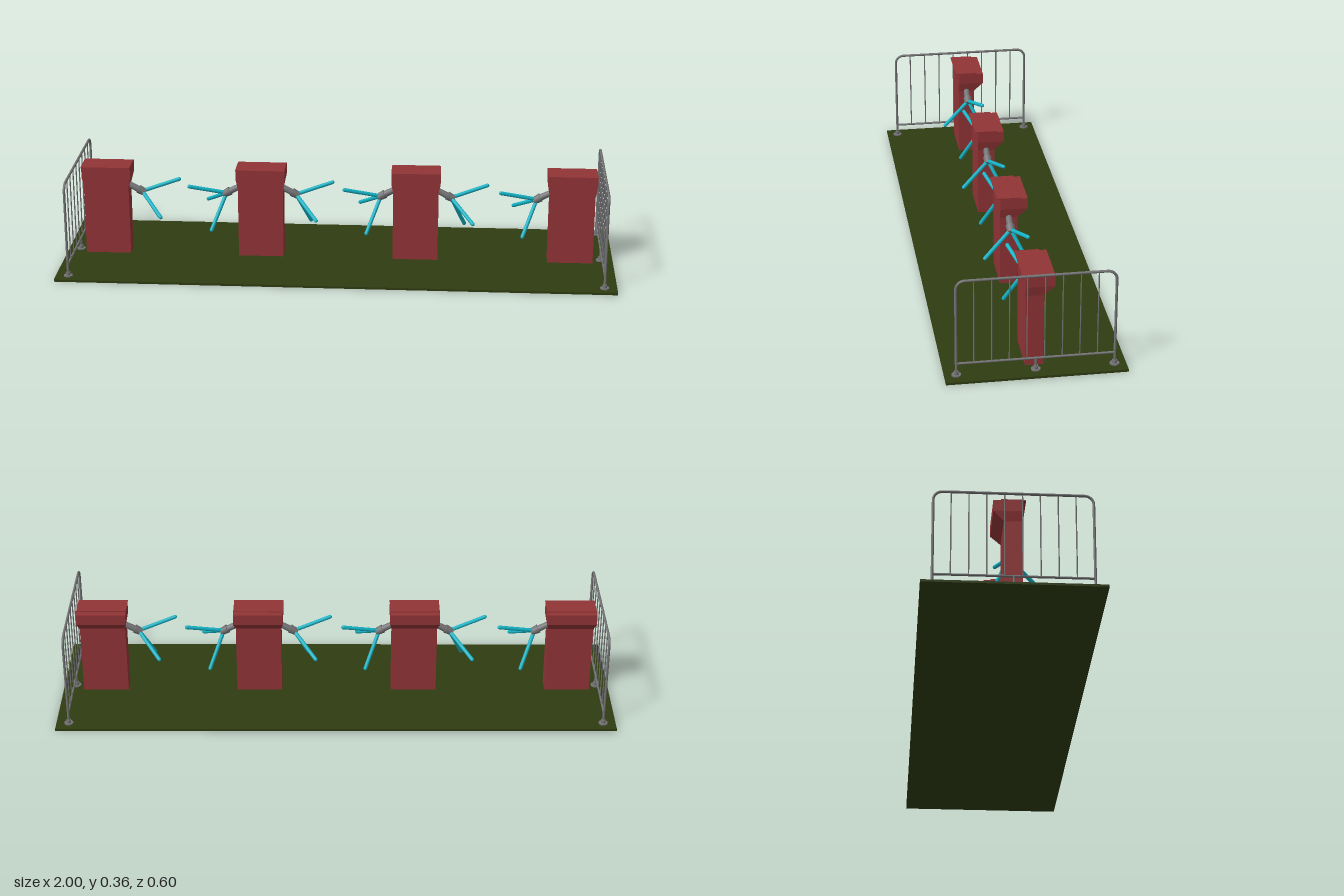
import * as THREE from 'three';

const mat = (name, color, side = THREE.FrontSide) => {
  const m = new THREE.MeshStandardMaterial({ color, side });
  m.name = name;
  return m;
};
const V = (x, y, z) => new THREE.Vector3(x, y, z);

export function createModel() {
  const red = mat('cabinet red', 0x923436);
  const green = mat('ground green', 0x2f3c10);
  const gray = mat('metal gray', 0x737375);
  const cyan = mat('arm cyan', 0x14b4c6);
  const model = new THREE.Group();
  model.name = 'turnstileRow';

  const add = (parent, name, geometry, material, x = 0, y = 0, z = 0) => {
    const mesh = new THREE.Mesh(geometry, material);
    mesh.name = name;
    mesh.position.set(x, y, z);
    parent.add(mesh);
    return mesh;
  };
  // Round bar between two points
  const rod = (parent, name, a, b, r0, r1, material, sides = 12) => {
    const d = b.clone().sub(a);
    const mesh = add(parent, name, new THREE.CylinderGeometry(r1, r0, d.length(), sides), material);
    mesh.position.copy(a).add(b).multiplyScalar(0.5);
    mesh.quaternion.setFromUnitVectors(V(0, 1, 0), d.normalize());
    return mesh;
  };

  add(model, 'groundPlate', new THREE.BoxGeometry(2, 0.008, 0.6), green, 0, 0.004, 0);

  // Cabinet head: a box whose lower part tapers in to the column
  const headGeometry = () => {
    const g = new THREE.BoxGeometry(0.178, 0.074, 0.095, 1, 2, 1);
    const p = g.attributes.position;
    for (let i = 0; i < p.count; i++) {
      const level = p.getY(i) < -0.01 ? 0 : p.getY(i) < 0.01 ? 1 : 2;
      p.setY(i, [0.265, 0.3, 0.339][level]);
      p.setX(i, Math.sign(p.getX(i)) * (level ? 0.089 : 0.082));
      p.setZ(i, p.getZ(i) > 0 ? 0.031 : level ? -0.065 : -0.03);
    }
    const flat = g.toNonIndexed();
    flat.computeVertexNormals();
    return flat;
  };
  const head = headGeometry();

  // Three-armed rotor on a tilted hub, pointing to +x
  const makeRotor = () => {
    const rotor = new THREE.Group();
    rotor.name = 'rotor';
    rod(rotor, 'hubNeck', V(0.078, 0.267, 0), V(0.118, 0.246, 0), 0.011, 0.012, gray, 16);
    rod(rotor, 'hub', V(0.113, 0.249, 0), V(0.138, 0.235, 0), 0.016, 0.013, gray, 16);
    const origin = V(0.127, 0.241, 0);
    for (const tip of [V(0.258, 0.276, -0.039), V(0.207, 0.178, 0.101), V(0.177, 0.118, -0.063)]) {
      rod(rotor, 'arm', origin, tip, 0.007, 0.007, cyan);
      add(rotor, 'armTip', new THREE.SphereGeometry(0.007, 12, 8), cyan, tip.x, tip.y, tip.z);
    }
    return rotor;
  };

  for (let i = 0; i < 4; i++) {
    const gate = new THREE.Group();
    gate.name = 'turnstile';
    gate.position.x = -0.847 + i * 0.5635;
    add(gate, 'column', new THREE.BoxGeometry(0.164, 0.262, 0.061), red, 0, 0.135, 0);
    add(gate, 'head', head, red);
    add(gate, 'lid', new THREE.BoxGeometry(0.178, 0.004, 0.082), red, 0, 0.341, 0.001);
    if (i < 3) gate.add(makeRotor());
    if (i > 0) {
      const rotor = makeRotor();
      rotor.rotation.y = Math.PI;
      gate.add(rotor);
    }
    model.add(gate);
  }

  // End railings
  const foot = (parent, z) => {
    add(parent, 'footPlate', new THREE.CylinderGeometry(0.016, 0.016, 0.004, 20), gray, 0, 0.01, z);
    add(parent, 'footCollar', new THREE.CylinderGeometry(0.008, 0.008, 0.012, 16), gray, 0, 0.017, z);
  };
  const Z = 0.261, TOP = 0.353, R = 0.03;
  const path = new THREE.CurvePath();
  path.add(new THREE.LineCurve3(V(0, 0.01, Z), V(0, TOP - R, Z)));
  const bend = (s) => {
    const pts = [];
    for (let k = 0; k <= 8; k++) {
      const a = (k / 8) * Math.PI / 2;
      pts.push(V(0, TOP - R + R * Math.sin(a), s * (Z - R + R * Math.cos(a))));
    }
    return new THREE.CatmullRomCurve3(s > 0 ? pts : pts.reverse());
  };
  path.add(bend(1));
  path.add(new THREE.LineCurve3(V(0, TOP, Z - R), V(0, TOP, R - Z)));
  path.add(bend(-1));
  path.add(new THREE.LineCurve3(V(0, TOP - R, -Z), V(0, 0.01, -Z)));
  const frame = new THREE.TubeGeometry(path, 140, 0.0045, 12);

  for (const side of [-1, 1]) {
    const railing = new THREE.Group();
    railing.name = 'railing';
    railing.position.x = side * 0.955;
    add(railing, 'railFrame', frame, gray);
    rod(railing, 'lowerRail', V(0, 0.051, -Z), V(0, 0.051, Z), 0.004, 0.004, gray);
    for (let k = 0; k < 8; k++) {
      const z = (k - 3.5) * 0.058;
      rod(railing, 'railBar', V(0, 0.051, z), V(0, TOP, z), 0.0022, 0.0022, gray, 8);
    }
    rod(railing, 'middlePost', V(0, 0.01, 0), V(0, 0.051, 0), 0.004, 0.004, gray);
    for (const z of [-Z, 0, Z]) foot(railing, z);
    model.add(railing);
  }
  return model;
}
